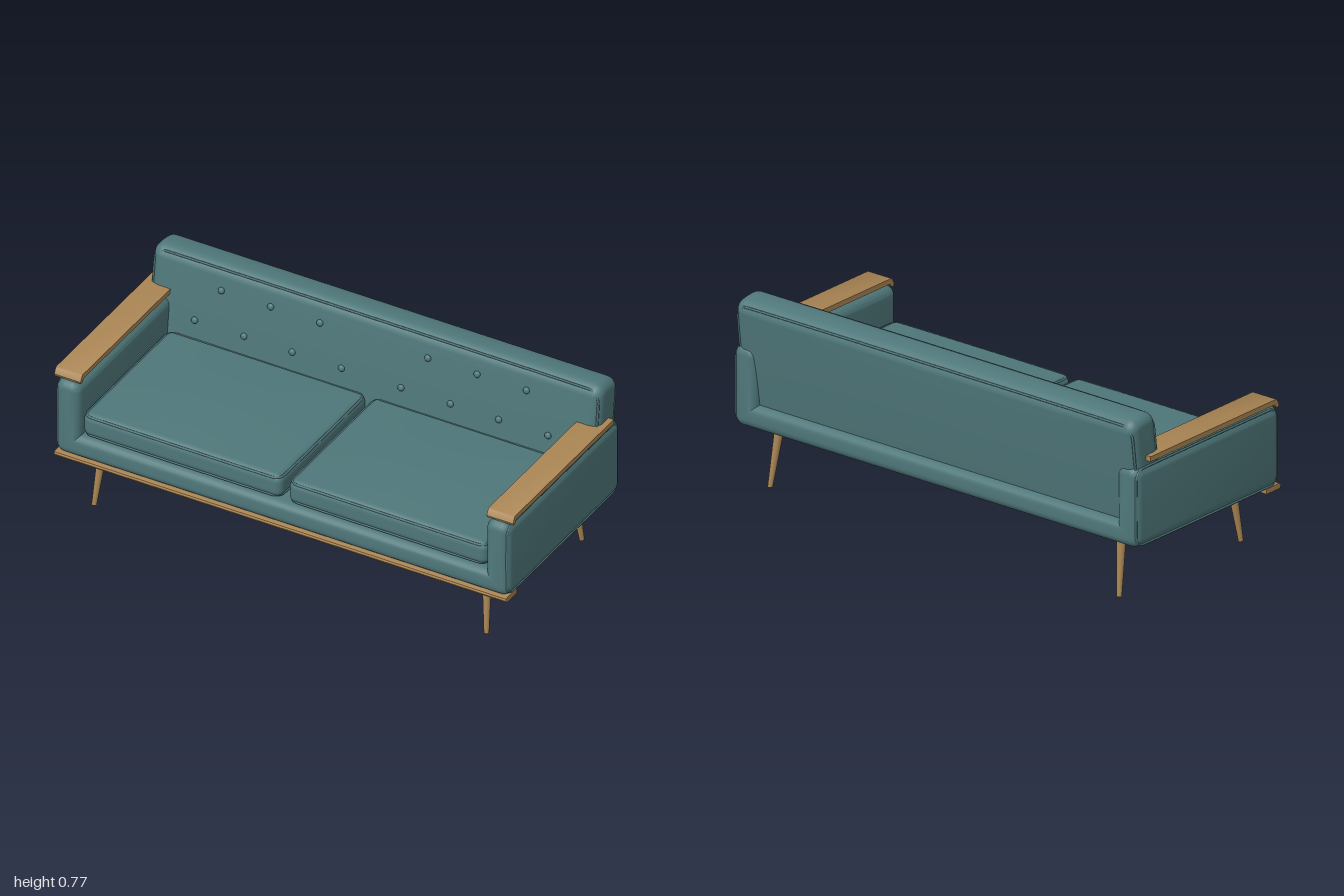
import * as THREE from 'three';
import { mergeVertices, toCreasedNormals } from 'three/addons/utils/BufferGeometryUtils.js';

const fabric = new THREE.MeshStandardMaterial({ color: 0x4f777a });
const wood = new THREE.MeshStandardMaterial({ color: 0xa88453 });

function add(parent, name, geometry, material) {
  const mesh = new THREE.Mesh(geometry, material);
  mesh.name = name;
  parent.add(mesh);
  return mesh;
}

// Upholstered block: subdivided box with rounded edges, then a bulge rule
function softBox(w, h, d, r, bulge) {
  const n = 14;
  const half = new THREE.Vector3(w, h, d).multiplyScalar(0.5);
  const geo = new THREE.BoxGeometry(w, h, d, n, n, n);
  geo.deleteAttribute('normal');
  geo.deleteAttribute('uv');
  const pos = geo.attributes.position;
  const p = new THREE.Vector3(), inner = new THREE.Vector3();
  for (let i = 0; i < pos.count; i++) {
    p.fromBufferAttribute(pos, i);
    for (const a of ['x', 'y', 'z']) {
      // four of the seven steps on each side go to the rounded edge
      const u = p[a] / half[a], m = Math.abs(u), k = 3 / 7;
      const flat = half[a] - r;
      const v = m <= k ? (m / k) * flat : flat + r * Math.tan(((m - k) / (1 - k)) * Math.PI / 4);
      p[a] = Math.sign(u) * v;
      inner[a] = THREE.MathUtils.clamp(p[a], -flat, flat);
    }
    p.sub(inner).setLength(r).add(inner);
    bulge(p, half);
    pos.setXYZ(i, p.x, p.y, p.z);
  }
  const merged = mergeVertices(geo, 1e-5);
  merged.computeVertexNormals();
  return merged;
}

// Piping cord around a rounded rectangle in the XY plane
function piping(w, h, r, thickness) {
  const x = w / 2, y = h / 2, s = new THREE.Shape();
  s.absarc(x - r, y - r, r, 0, Math.PI / 2);
  s.absarc(-x + r, y - r, r, Math.PI / 2, Math.PI);
  s.absarc(-x + r, -y + r, r, Math.PI, Math.PI * 1.5);
  s.absarc(x - r, -y + r, r, Math.PI * 1.5, Math.PI * 2);
  const pts = s.getPoints(5).map(q => new THREE.Vector3(q.x, q.y, 0));
  if (pts[0].distanceTo(pts[pts.length - 1]) < 1e-5) pts.pop();
  return new THREE.TubeGeometry(new THREE.CatmullRomCurve3(pts, true), 160, thickness, 6, true);
}

// Side profile given as [z, y] points, extruded across x and centred on x = 0
function profileBar(points, width) {
  const shape = new THREE.Shape(points.map(([z, y]) => new THREE.Vector2(z, y)));
  const geo = new THREE.ExtrudeGeometry(shape, { depth: width, bevelEnabled: false });
  geo.translate(0, 0, -width / 2).rotateY(-Math.PI / 2);
  return toCreasedNormals(geo, 0.7);
}

// U-shaped body: both arms and the seat base in one padded form
function bodyGeometry() {
  const X = 0.99, I = 0.885, B = 0.24, S = 0.335, T = 0.57, r = 0.04, b = 0.035;
  const s = new THREE.Shape();
  s.moveTo(-X + r, B);
  s.lineTo(X - r, B);
  s.absarc(X - r, B + r, r, -Math.PI / 2, 0);
  s.absarc(X - r, T - r, r, 0, Math.PI / 2);
  s.absarc(I + r, T - r, r, Math.PI / 2, Math.PI);
  s.lineTo(I, S);
  s.lineTo(-I, S);
  s.absarc(-I - r, T - r, r, 0, Math.PI / 2);
  s.absarc(-X + r, T - r, r, Math.PI / 2, Math.PI);
  s.absarc(-X + r, B + r, r, Math.PI, Math.PI * 1.5);
  const geo = new THREE.ExtrudeGeometry(s, {
    depth: 0.85 - 2 * b, curveSegments: 5, bevelEnabled: true,
    bevelThickness: b, bevelSize: b, bevelOffset: -b, bevelSegments: 5,
  });
  geo.translate(0, 0, -0.42 + b);
  return toCreasedNormals(geo, 0.65);
}

function rod(top, bottom, rTop, rBottom) {
  const dir = top.clone().sub(bottom);
  const geo = new THREE.CylinderGeometry(rTop, rBottom, dir.length(), 20);
  geo.applyQuaternion(new THREE.Quaternion().setFromUnitVectors(
    new THREE.Vector3(0, 1, 0), dir.normalize()));
  const mid = top.clone().add(bottom).multiplyScalar(0.5);
  return geo.translate(mid.x, mid.y, mid.z);
}

export function createModel() {
  const sofa = new THREE.Group();
  sofa.name = 'sofa';
  add(sofa, 'body', bodyGeometry(), fabric);

  // Reclined backrest with piping and buttons
  const back = new THREE.Group();
  back.name = 'backrest';
  back.position.set(0, 0.53, -0.333);
  back.rotation.x = -0.12;
  sofa.add(back);
  add(back, 'backPanel', softBox(1.955, 0.45, 0.148, 0.04, (p, h) => {
    const fx = 1 - (p.x / h.x) ** 4, fy = 1 - (p.y / h.y) ** 2, fz = 1 - (p.z / h.z) ** 2;
    if (p.y > 0) p.y += 0.012 * fz;
    p.z += Math.sign(p.z) * 0.005 * fx * fy;
  }), fabric);
  for (const side of [-1, 1]) {
    add(back, 'backPiping', piping(1.933, 0.428, 0.045, 0.005), fabric).position.z = side * 0.063;
  }
  const buttonRows = [[0.133, [0.235, 0.45, 0.665]], [-0.028, [0.13, 0.345, 0.555, 0.77]]];
  for (const [y, xs] of buttonRows) {
    for (const x of xs) {
      for (const side of [-1, 1]) {
        const button = add(back, 'button', new THREE.SphereGeometry(0.014, 14, 10), fabric);
        button.position.set(side * x, y, 0.08);
        button.scale.z = 0.7;
      }
    }
  }

  for (const side of [-1, 1]) {
    // Seat cushion with crowned top and two piping cords
    const cushion = new THREE.Group();
    cushion.name = 'seatCushion';
    cushion.position.set(side * 0.448, 0.388, 0.08);
    sofa.add(cushion);
    add(cushion, 'cushionPad', softBox(0.866, 0.1, 0.66, 0.03, (p, h) => {
      const f = (1 - (p.x / h.x) ** 2) * (1 - (p.z / h.z) ** 2);
      if (p.y > 0) p.y += 0.014 * f;
    }), fabric);
    for (const y of [-0.04, 0.04]) {
      const cord = add(cushion, 'cushionPiping', piping(0.852, 0.646, 0.03, 0.005), fabric);
      cord.rotation.x = -Math.PI / 2;
      cord.position.y = y;
    }

    // Cord around the outer side panel
    const cord = add(sofa, 'armPiping', piping(0.83, 0.31, 0.04, 0.005), fabric);
    cord.rotation.y = Math.PI / 2;
    cord.position.set(side * 0.979, 0.405, 0.005);

    // Wooden armrest with a drooping front lip
    const armrest = add(sofa, 'armrest', profileBar([
      [-0.35, 0.585], [0.385, 0.585], [0.398, 0.57], [0.408, 0.571],
      [0.411, 0.58], [0.4, 0.602], [0.394, 0.606], [-0.35, 0.606],
    ], 0.115), wood);
    armrest.position.x = side * 0.9425;

    // Splayed tapered legs with mounting collars
    for (const end of [-1, 1]) {
      const top = new THREE.Vector3(side * 0.837, 0.242, end * 0.325);
      const foot = new THREE.Vector3(side * 0.855, 0.002, end * 0.36);
      add(sofa, 'leg', rod(top, foot, 0.019, 0.01), wood);
      add(sofa, 'legCollar', new THREE.CylinderGeometry(0.025, 0.023, 0.01, 20), wood)
        .position.set(side * 0.837, 0.236, end * 0.325);
    }
  }

  // Wooden rail below the front edge
  add(sofa, 'frontRail', profileBar([
    [0.355, 0.226], [0.405, 0.226], [0.428, 0.226], [0.437, 0.23],
    [0.44, 0.237], [0.437, 0.245], [0.428, 0.248], [0.355, 0.246],
  ], 1.97), wood);

  return sofa;
}
